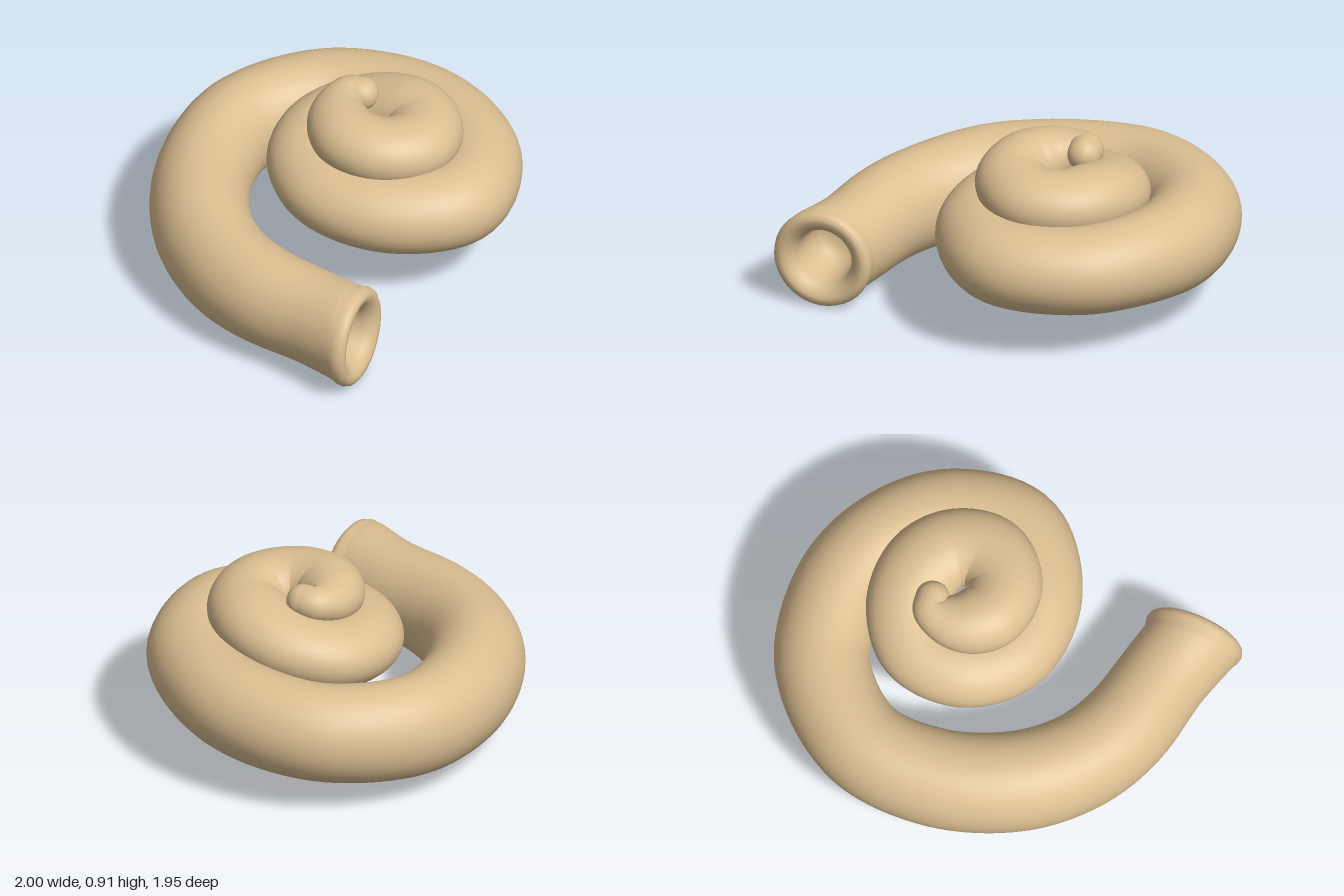
import * as THREE from 'three';

// Whorl stations from mouth to tip: x, y, z, horizontal radius, vertical radius
const STATIONS = [
  [-0.685, 0.27, 0.80, 0.245, 0.25],
  [-0.705, 0.27, 0.60, 0.23, 0.245],
  [-0.76, 0.28, 0.25, 0.24, 0.255],
  [-0.73, 0.29, -0.03, 0.245, 0.265],
  [-0.59, 0.32, -0.33, 0.25, 0.27],
  [-0.29, 0.345, -0.61, 0.245, 0.265],
  [0.10, 0.375, -0.745, 0.235, 0.26],
  [0.52, 0.405, -0.59, 0.24, 0.25],
  [0.73, 0.43, -0.25, 0.24, 0.245],
  [0.755, 0.45, 0.06, 0.235, 0.23],
  [0.62, 0.455, 0.38, 0.24, 0.22],
  [0.30, 0.465, 0.57, 0.24, 0.215],
  [0.00, 0.475, 0.39, 0.24, 0.205],
  [-0.11, 0.50, 0.10, 0.235, 0.19],
  [-0.01, 0.54, -0.13, 0.23, 0.18],
  [0.20, 0.58, -0.22, 0.22, 0.17],
  [0.39, 0.64, -0.11, 0.21, 0.17],
  [0.45, 0.69, 0.08, 0.21, 0.17],
  [0.40, 0.70, 0.24, 0.20, 0.165],
  [0.25, 0.71, 0.33, 0.20, 0.165],
  [0.08, 0.73, 0.26, 0.19, 0.16],
  [0.02, 0.75, 0.10, 0.18, 0.16],
  [0.07, 0.77, -0.02, 0.165, 0.145],
  [0.15, 0.795, -0.09, 0.13, 0.115],
  [0.23, 0.82, -0.11, 0.095, 0.09],
  [0.27, 0.825, -0.06, 0.085, 0.085],
];

// Mouth lip and bore, from the closed end outwards: offset along the axis, radius
const MOUTH = [
  [-0.30, 0.001], [-0.295, 0.06], [-0.27, 0.105], [-0.22, 0.13], [-0.12, 0.14],
  [-0.05, 0.145], [-0.02, 0.16], [0.0, 0.18], [0.015, 0.205], [0.015, 0.23],
  [0.0, 0.25], [-0.025, 0.258], [-0.05, 0.253],
];

const SIDES = 40;
const STEPS = 260;

function buildTube() {
  const Y = new THREE.Vector3(0, 1, 0);
  const mouthAxis = new THREE.Vector3(0.37, 0, 0.93).normalize();
  const mouthCentre = new THREE.Vector3(-0.66, 0.262, 0.87);
  const mouthSide = new THREE.Vector3().crossVectors(Y, mouthAxis).negate();
  const rings = [];

  // lip and bore
  for (const [offset, r] of MOUTH) {
    rings.push({
      c: mouthCentre.clone().addScaledVector(mouthAxis, offset),
      side: mouthSide, up: Y, rx: r, ry: r,
    });
  }

  // coiled body, tilting away from the mouth plane
  const path = new THREE.CatmullRomCurve3(STATIONS.map(s => new THREE.Vector3(s[0], s[1], s[2])));
  const radii = new THREE.CatmullRomCurve3(
    STATIONS.map(s => new THREE.Vector3(s[3], s[4], 0)), false, 'catmullrom', 0.5);
  let last;
  for (let i = 0; i <= STEPS; i++) {
    const t = i / STEPS;
    const tangent = path.getTangent(t);
    const side = new THREE.Vector3().crossVectors(Y, tangent).normalize();
    side.lerp(mouthSide, 1 - THREE.MathUtils.smoothstep(t, 0, 0.06)).normalize();
    const up = new THREE.Vector3().crossVectors(tangent, side).normalize();
    const r = radii.getPoint(t);
    last = { c: path.getPoint(t), side, up, rx: r.x, ry: r.y, tangent };
    rings.push(last);
  }

  // rounded tip
  for (let k = 1; k <= 8; k++) {
    const a = k / 8 * Math.PI / 2;
    const s = Math.max(Math.cos(a), 0.005);
    rings.push({
      ...last, rx: last.rx * s, ry: last.ry * s,
      c: last.c.clone().addScaledVector(last.tangent, Math.sin(a) * 0.08),
    });
  }

  // skin the rings
  const positions = [], index = [];
  rings.forEach((ring, i) => {
    for (let j = 0; j < SIDES; j++) {
      const a = j / SIDES * Math.PI * 2;
      const p = ring.c.clone()
        .addScaledVector(ring.side, Math.cos(a) * ring.rx)
        .addScaledVector(ring.up, Math.sin(a) * ring.ry);
      positions.push(p.x, p.y, p.z);
      if (i === rings.length - 1) continue;
      const k = (j + 1) % SIDES;
      const A = i * SIDES + j, B = i * SIDES + k, C = A + SIDES, D = B + SIDES;
      index.push(A, B, C, B, D, C);
    }
  });
  const geometry = new THREE.BufferGeometry();
  geometry.setAttribute('position', new THREE.Float32BufferAttribute(positions, 3));
  geometry.setIndex(index);
  geometry.computeVertexNormals();
  return geometry;
}

export function createModel() {
  const group = new THREE.Group();
  group.name = 'spiralShell';
  const material = new THREE.MeshStandardMaterial({ color: 0xdcbf92 });
  const shell = new THREE.Mesh(buildTube(), material);
  shell.name = 'coiledTube';
  group.add(shell);
  return group;
}
